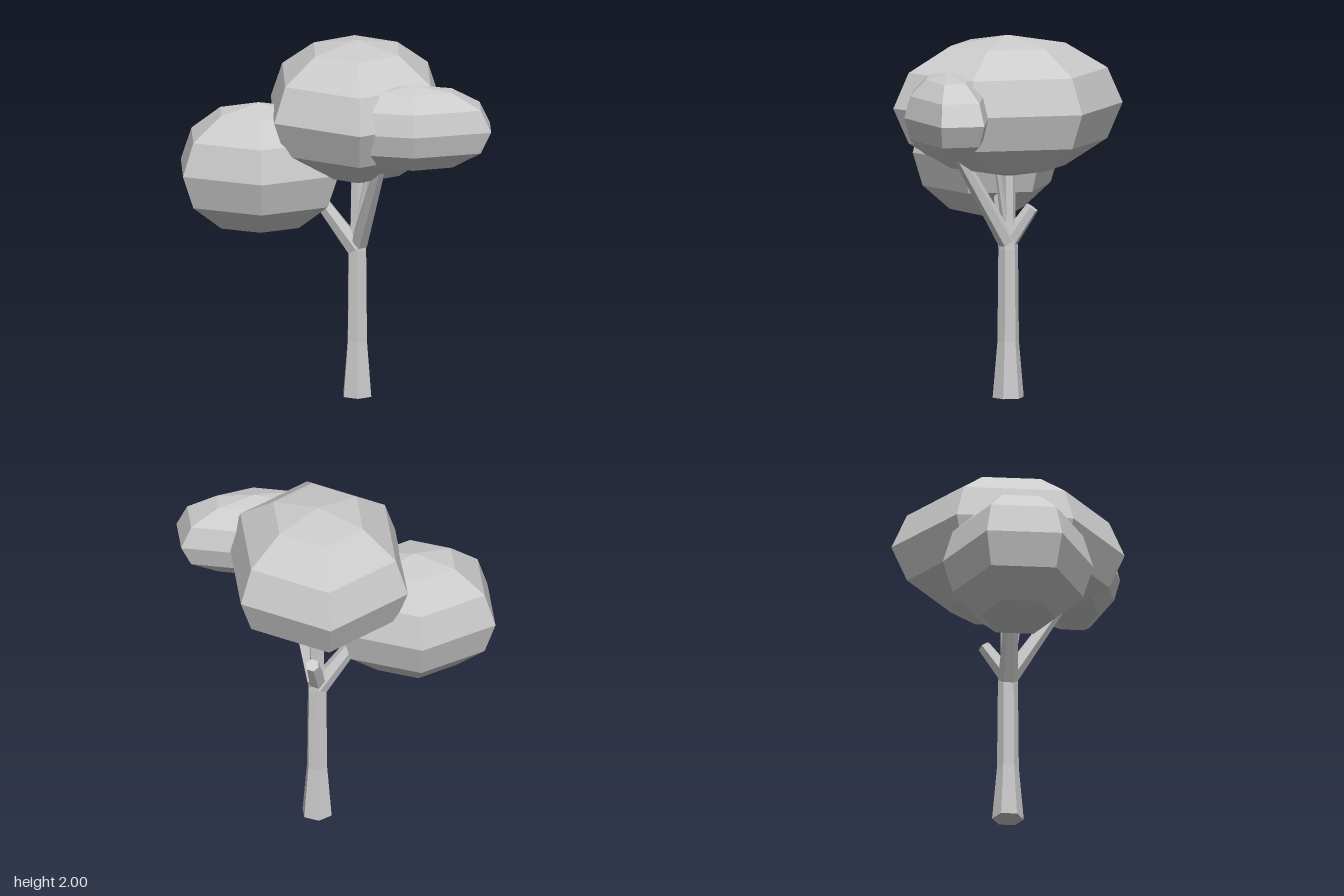
import * as THREE from 'three';

const material = new THREE.MeshStandardMaterial({ color: 0xcccccc, flatShading: true });

function addMesh(parent, name, geometry) {
  const mesh = new THREE.Mesh(geometry, material);
  mesh.name = name;
  parent.add(mesh);
  return mesh;
}

// Six-sided faceted ellipsoid with corners on the z axis
function addCrown(parent, name, center, radii) {
  const geometry = new THREE.SphereGeometry(1, 6, 6);
  geometry.rotateY(Math.PI / 2);
  geometry.scale(...radii);
  addMesh(parent, name, geometry).position.set(...center);
}

// Tapered six-sided limb between two points
function addBranch(parent, name, start, end, r0, r1) {
  const a = new THREE.Vector3(...start);
  const b = new THREE.Vector3(...end);
  const dir = b.clone().sub(a);
  const mesh = addMesh(parent, name, new THREE.CylinderGeometry(r1, r0, dir.length(), 6));
  mesh.position.copy(a).add(b).multiplyScalar(0.5);
  mesh.quaternion.setFromUnitVectors(new THREE.Vector3(0, 1, 0), dir.normalize());
}

export function createModel() {
  const tree = new THREE.Group();
  tree.name = 'tree';

  // Trunk, flared at the foot and thinner above the fork
  const profile = [[0, 0], [0.087, 0], [0.06, 0.31], [0.055, 0.82], [0.042, 0.98], [0.036, 1.35], [0, 1.35]];
  const trunk = new THREE.LatheGeometry(profile.map(([r, y]) => new THREE.Vector2(r, y)), 6);
  addMesh(tree, 'trunk', trunk).position.x = 0.12;

  // Limbs reaching into the crowns, and a cut stub at the back
  addBranch(tree, 'leftBranch', [0.11, 0.83, 0], [-0.14, 1.18, 0], 0.055, 0.035);
  addBranch(tree, 'frontBranch', [0.13, 0.86, 0.01], [0.25, 1.42, 0.34], 0.05, 0.03);
  addBranch(tree, 'backStub', [0.12, 0.87, -0.01], [0.16, 1.05, -0.125], 0.05, 0.038);
  addBranch(tree, 'upperTwig', [0.13, 0.98, 0.02], [0.19, 1.32, 0.08], 0.025, 0.015);

  // Foliage
  addCrown(tree, 'mainCrown', [0.115, 1.61, 0], [0.53, 0.39, 0.64]);
  addCrown(tree, 'sideCrown', [-0.415, 1.288, 0.01], [0.49, 0.366, 0.413]);
  addCrown(tree, 'frontCrown', [0.415, 1.6, 0.4], [0.487, 0.241, 0.24]);

  return tree;
}
